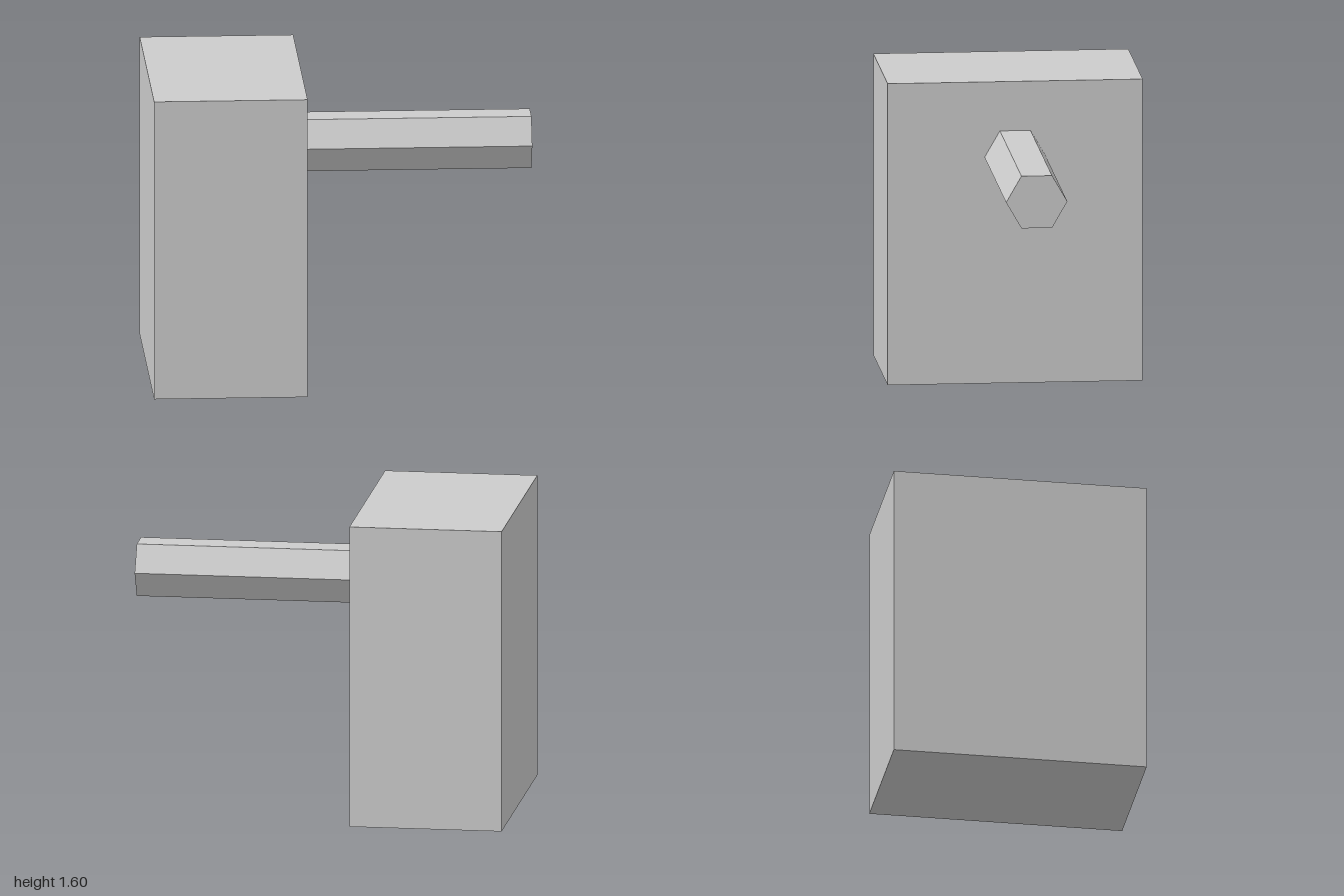
import * as THREE from 'three';

export function createModel() {
  const model = new THREE.Group();
  const grey = new THREE.MeshStandardMaterial({ color: 0xcccccc, flatShading: true });
  grey.name = 'light grey';

  const add = (name, geometry, x, y) => {
    const mesh = new THREE.Mesh(geometry, grey);
    mesh.name = name;
    mesh.position.set(x, y, 0);
    model.add(mesh);
  };

  // Upright rectangular block
  add('block', new THREE.BoxGeometry(0.8, 1.6, 1.333), -0.6, 0.8);

  // Hexagonal rod along x, flat sides up and down
  add('hexagonalRod', new THREE.CylinderGeometry(0.16, 0.16, 1.2, 6).rotateZ(-Math.PI / 2), 0.4, 1.2);

  return model;
}
